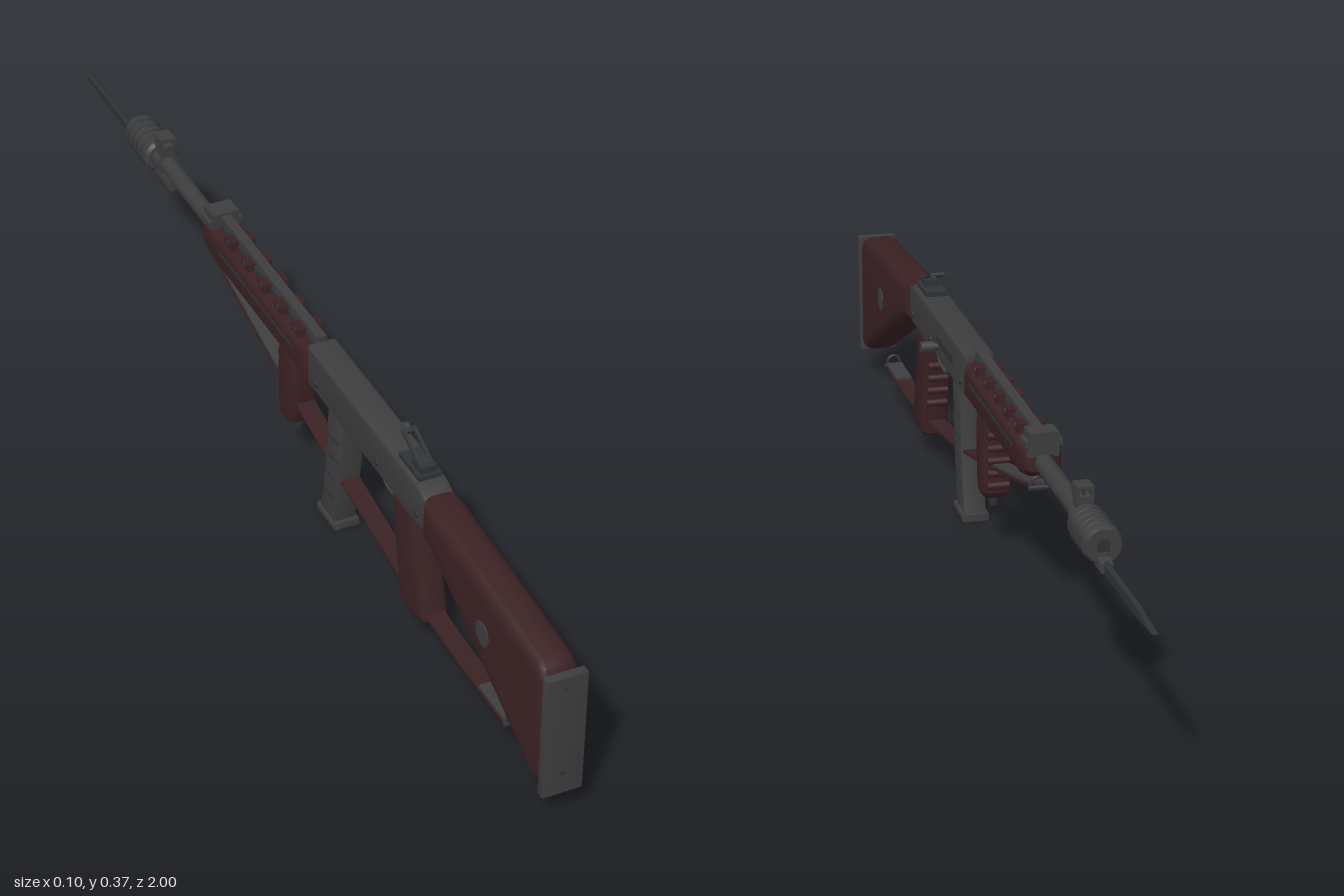
import * as THREE from 'three';
import { toCreasedNormals } from 'three/addons/utils/BufferGeometryUtils.js';

const mat = (name, color) => Object.assign(new THREE.MeshStandardMaterial({ color }), { name });

export function createModel() {
  const metal = mat('gunmetal', 0x3d3d3d);
  const steel = mat('dark steel', 0x2e3235);
  const wood = mat('dark wood', 0x3a2123);

  const model = new THREE.Group();
  const body = new THREE.Group();
  body.name = 'rifle';
  body.position.x = -0.012; // the bolt handle sticks out to the left
  model.add(body);

  const add = (name, geo, material, x = 0, y = 0, z = 0) => {
    const mesh = new THREE.Mesh(geo, material);
    mesh.name = name;
    mesh.position.set(x, y, z);
    body.add(mesh);
    return mesh;
  };
  const box = (name, m, w, h, d, x, y, z) => add(name, new THREE.BoxGeometry(w, h, d), m, x, y, z);
  // Rod along x
  const pin = (name, m, r, len, x, y, z) =>
    add(name, new THREE.CylinderGeometry(r, r, len, 16).rotateZ(Math.PI / 2), m, x, y, z);
  // Rod along z
  const rod = (name, m, r, z0, z1, y, x = 0) =>
    add(name, new THREE.CylinderGeometry(r, r, Math.abs(z1 - z0), 20).rotateX(Math.PI / 2), m, x, y, (z0 + z1) / 2);
  // Side outline given as [z, y] points, extruded across x with rounded edges
  const slab = (name, m, pts, width, bevel = 0, segs = 4) => {
    const depth = width - 2 * bevel;
    const geo = new THREE.ExtrudeGeometry(new THREE.Shape(pts.map(p => new THREE.Vector2(...p))), {
      depth, bevelEnabled: bevel > 0, bevelThickness: bevel, bevelSize: bevel,
      bevelOffset: -bevel, bevelSegments: segs,
    });
    geo.translate(0, 0, -depth / 2).rotateY(-Math.PI / 2);
    return add(name, toCreasedNormals(geo, 0.6), m);
  };
  const tube = (name, m, pts, r) => add(name, new THREE.TubeGeometry(
    new THREE.CatmullRomCurve3(pts.map(([z, y]) => new THREE.Vector3(0, y, z))), 20, r, 8), m);

  // Stock, butt plate and side discs
  slab('stock', wood, [[0.555, 0.25], [0.6, 0.232], [0.94, 0.066], [0.965, 0.056], [0.982, 0.07],
    [0.982, 0.265], [0.972, 0.285], [0.95, 0.293], [0.6, 0.317], [0.555, 0.318]], 0.07, 0.022, 6);
  slab('buttPlate', metal, [[0.984, 0.05], [1, 0.05], [1, 0.283], [0.984, 0.283]], 0.072, 0.003, 2);
  for (const y of [0.09, 0.262])
    rod('buttScrew', steel, 0.005, 0.998, 1.0, y);
  pin('stockDisc', metal, 0.022, 0.073, 0, 0.217, 0.785);

  // Receiver, bolt and pins
  slab('receiver', metal, [[0.562, 0.262], [0.545, 0.247], [0.105, 0.247], [0.105, 0.325],
    [0.53, 0.325], [0.562, 0.312]], 0.054, 0.006, 3);
  box('boltSlot', steel, 0.004, 0.016, 0.13, 0.0265, 0.285, 0.265);
  pin('boltHandle', metal, 0.007, 0.03, 0.03, 0.273, 0.32);
  pin('boltKnob', metal, 0.0105, 0.023, 0.0475, 0.273, 0.32);
  for (const z of [0.14, 0.38, 0.53])
    pin('receiverPin', steel, 0.006, 0.06, 0, 0.268, z);
  box('magazineCatch', steel, 0.016, 0.022, 0.012, 0, 0.238, 0.258);

  // Rear sight with a tilted open leaf
  box('rearSightBase', steel, 0.04, 0.01, 0.075, 0, 0.329, 0.485);
  box('rearSightBlock', steel, 0.028, 0.014, 0.035, 0, 0.339, 0.5);
  const frame = new THREE.Shape([[-0.013, 0], [0.013, 0], [0.013, 0.075], [-0.013, 0.075]]
    .map(p => new THREE.Vector2(...p)));
  frame.holes.push(new THREE.Path([[-0.007, 0.02], [-0.007, 0.066], [0.007, 0.066], [0.007, 0.02]]
    .map(p => new THREE.Vector2(...p))));
  const leaf = add('rearSightLeaf', new THREE.ExtrudeGeometry(frame, { depth: 0.005, bevelEnabled: false }),
    steel, 0, 0.34, 0.508);
  leaf.rotation.x = -1.18;

  // Handguard with ribbed top rail
  slab('handguard', wood, [[0.105, 0.25], [-0.29, 0.25], [-0.325, 0.258], [-0.345, 0.272],
    [-0.345, 0.3], [-0.335, 0.31], [0.105, 0.312]], 0.064, 0.016, 5);
  rod('gasTube', steel, 0.011, 0.105, -0.32, 0.315);
  box('topRail', metal, 0.018, 0.008, 0.42, 0, 0.331, -0.105);
  for (let i = 0; i < 5; i++) {
    const z = 0.045 - i * 0.072;
    box('railRib', wood, 0.046, 0.02, 0.03, 0, 0.316, z);
    pin('railStud', steel, 0.006, 0.05, 0, 0.319, z);
  }
  for (const s of [-1, 1])
    box('handguardGroove', steel, 0.002, 0.006, 0.32, s * 0.032, 0.29, -0.1);
  box('handguardStud', steel, 0.014, 0.02, 0.014, 0, 0.241, -0.07);
  box('gasBlock', metal, 0.05, 0.042, 0.04, 0, 0.318, -0.325);
  box('gasBlockCap', metal, 0.064, 0.01, 0.036, 0, 0.32, -0.325);

  // Barrel and muzzle
  rod('barrel', metal, 0.016, -0.33, -0.62, 0.286);
  rod('muzzleCollar', metal, 0.021, -0.575, -0.61, 0.286);
  const profile = [[0.012, 0.715], [0.028, 0.715], [0.032, 0.708], [0.032, 0.612], [0.027, 0.605], [0.012, 0.605]];
  const brake = new THREE.LatheGeometry(profile.reverse().map(p => new THREE.Vector2(...p)), 24).rotateX(-Math.PI / 2);
  add('muzzleBrake', toCreasedNormals(brake, 0.6), metal, 0, 0.284, 0);
  rod('bore', steel, 0.013, -0.612, -0.708, 0.284);
  for (let i = 0; i < 4; i++)
    add('muzzleRing', new THREE.TorusGeometry(0.0315, 0.0025, 6, 24), steel, 0, 0.284, -0.63 - i * 0.02);

  // Front sight
  box('frontSightBase', metal, 0.026, 0.024, 0.03, 0, 0.312, -0.588);
  box('frontSightPost', steel, 0.004, 0.02, 0.008, 0, 0.328, -0.59);
  for (const s of [-1, 1])
    box('frontSightEar', metal, 0.005, 0.022, 0.03, s * 0.012, 0.329, -0.588);
  box('frontSightHood', metal, 0.026, 0.004, 0.034, 0, 0.339, -0.588);

  // Bayonet
  slab('bayonetMount', metal, [[-0.545, 0.247], [-0.545, 0.268], [-0.72, 0.268], [-0.735, 0.262], [-0.735, 0.247]], 0.022, 0.003, 2);
  slab('bayonetBlade', steel, [[-0.7, 0.245], [-0.7, 0.265], [-0.91, 0.267], [-1, 0.256], [-0.91, 0.245]], 0.01, 0.003, 1);

  // Trigger
  tube('triggerGuard', metal, [[0.435, 0.25], [0.43, 0.212], [0.4, 0.204], [0.365, 0.205], [0.352, 0.218], [0.35, 0.25]], 0.004);
  tube('trigger', steel, [[0.4, 0.25], [0.403, 0.232], [0.394, 0.217]], 0.004);

  // Rear grip and finger ridges
  slab('rearGrip', wood, [[0.505, 0.25], [0.43, 0.25], [0.437, 0.2], [0.462, 0.075], [0.465, 0.052],
    [0.478, 0.045], [0.535, 0.048], [0.556, 0.058], [0.552, 0.08], [0.512, 0.215]], 0.05, 0.012, 4);
  for (let i = 0; i < 4; i++)
    pin('rearGripRidge', wood, 0.007, 0.038, 0, 0.195 - i * 0.026, 0.437 + i * 0.0055);

  // Front grip and finger ridges
  slab('frontGrip', wood, [[0.034, 0.255], [0.04, 0.225], [0.037, 0.13], [0.025, 0.105], [0.01, 0.1],
    [-0.012, 0.102], [-0.026, 0.115], [-0.028, 0.14], [-0.026, 0.255]], 0.05, 0.012, 4);
  for (let i = 0; i < 5; i++)
    pin('frontGripRidge', wood, 0.007, 0.038, 0, 0.222 - i * 0.023, -0.028);
  add('frontGripKnob', new THREE.CylinderGeometry(0.011, 0.008, 0.022, 16), steel, 0, 0.094, 0.007);

  // Curved magazine with ribs and floor plate
  slab('magazine', metal, [[0.235, 0.25], [0.228, 0.16], [0.218, 0.09], [0.202, 0.012],
    [0.145, 0.012], [0.16, 0.09], [0.17, 0.16], [0.174, 0.25]], 0.041, 0.004, 2);
  for (let i = 0; i < 4; i++) {
    const rib = box('magazineRib', steel, 0.043, 0.004, 0.046, 0, 0.19 - i * 0.042, 0.2 - i * 0.006);
    rib.rotation.x = -0.12;
  }
  slab('magazineFloor', metal, [[0.212, 0.003], [0.212, 0.016], [0.137, 0.013], [0.137, 0]], 0.049, 0.003, 2);

  // Sling: a leather strap with metal-grey ends on its upper side, and swivels
  const sling = new THREE.CatmullRomCurve3([[0.833, 0.063], [0.62, 0.064], [0.41, 0.084], [0.14, 0.13],
    [-0.1, 0.184], [-0.31, 0.235]].map(([z, y]) => new THREE.Vector3(0, y, z)));
  const strap = (name, m, t0, t1, lift, width) => {
    const top = [], bottom = [];
    for (let i = 0; i <= 20; i++) {
      const p = sling.getPointAt(t0 + (t1 - t0) * i / 20);
      top.push([p.z, p.y + lift + 0.0025]);
      bottom.unshift([p.z, p.y + lift - 0.0025]);
    }
    slab(name, m, [...top, ...bottom], width);
  };
  strap('slingStrap', wood, 0, 1, 0, 0.034);
  strap('slingRearEnd', metal, 0, 0.08, 0.004, 0.03);
  strap('slingFrontEnd', metal, 0.77, 1, 0.004, 0.03);
  for (const [z, y] of [[0.835, 0.071], [-0.312, 0.24]]) {
    add('slingSwivel', new THREE.TorusGeometry(0.012, 0.003, 8, 20), steel, 0, y, z);
    pin('swivelBar', steel, 0.005, 0.036, 0, y - 0.008, z);
  }
  return model;
}
